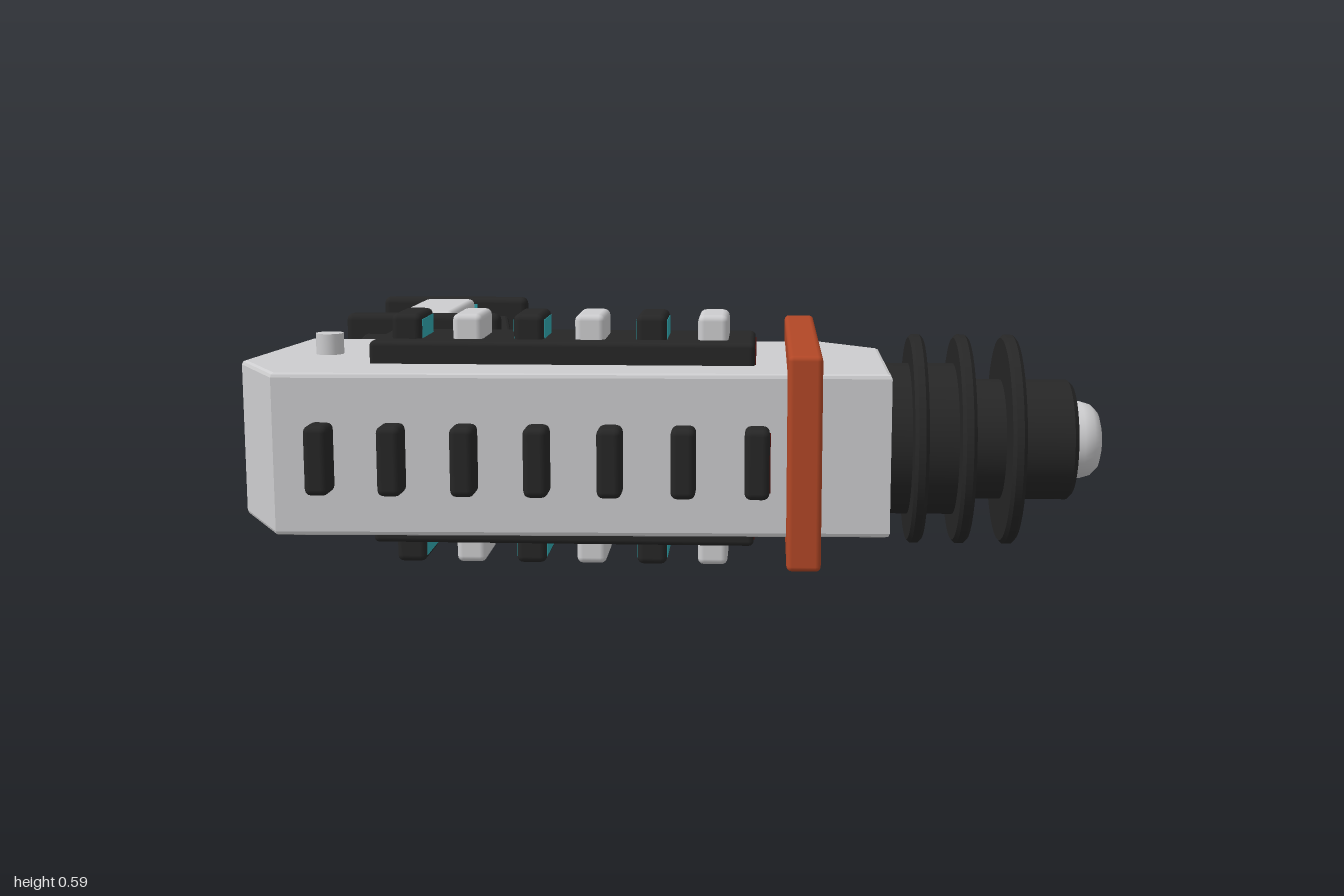
import * as THREE from 'three';
import { RoundedBoxGeometry } from 'three/addons/geometries/RoundedBoxGeometry.js';

const material = (name, color) => {
  const m = new THREE.MeshStandardMaterial({ color });
  m.name = name;
  return m;
};

export function createModel() {
  const white = material('light grey', 0xcdcdcf);
  const black = material('black', 0x262626);
  const orange = material('rust orange', 0xb24726);
  const brown = material('ochre brown', 0x946a32);
  const teal = material('teal', 0x2fa5ad);
  const red = material('dark red', 0x4a100c);

  const MID = 0.295; // the model lies on its side; this is its middle plane
  const model = new THREE.Group();
  model.name = 'toyBlaster';

  const add = (name, geometry, mat) => {
    const mesh = new THREE.Mesh(geometry, mat);
    mesh.name = name;
    model.add(mesh);
    return mesh;
  };

  // box given by its limits, with softened edges
  const box = (name, mat, [x0, x1], [y0, y1], [z0, z1], r = 0.012) => {
    const w = x1 - x0, h = y1 - y0, d = z1 - z0;
    const g = r > 0 ? new RoundedBoxGeometry(w, h, d, 2, r) : new THREE.BoxGeometry(w, h, d);
    g.translate((x0 + x1) / 2, (y0 + y1) / 2, (z0 + z1) / 2);
    return add(name, g, mat);
  };

  // outline in x and z, extruded upward between two heights
  const slab = (name, mat, outline, y0, y1, bevel = 0.01) => {
    const shape = new THREE.Shape(outline.map(([x, z]) => new THREE.Vector2(x, z)));
    const g = new THREE.ExtrudeGeometry(shape, {
      depth: y1 - y0 - 2 * bevel, bevelSize: bevel, bevelThickness: bevel,
      bevelOffset: -bevel, bevelSegments: 2,
    });
    g.rotateX(Math.PI / 2).translate(0, y1 - bevel, 0);
    return add(name, g, mat);
  };

  // the same range of heights on the upper and the lower side
  const bothSides = (y0, y1, build) => {
    build([y0, y1]);
    build([2 * MID - y1, 2 * MID - y0]);
  };

  // main housing, back rail and collar
  slab('housing', white, [
    [-0.955, 0.065], [0.365, 0.065], [0.5, 0.2], [0.5, 0.685], [-0.87, 0.728], [-1, 0.51],
  ], 0.113, 0.48);
  box('backRail', black, [-0.91, 0.44], [0.16, 0.43], [0, 0.15], 0.02);
  box('collar', orange, [0.27, 0.345], [0.058, 0.533], [-0.075, 0.787]);

  // side panels with alternating buttons
  bothSides(0.44, 0.532, (y) => {
    box('sidePanel', black, [-0.69, 0.197], y, [0.285, 0.555]);
    box('panelEnd', red, [0.194, 0.199], [y[0] + 0.015, y[1] - 0.015], [0.3, 0.54], 0);
  });
  for (let i = 0; i < 6; i++) {
    const x = -0.612 + i * 0.1425;
    const dark = i % 2 === 0;
    bothSides(0.5, 0.59, (y) => {
      box('panelButton', dark ? black : white, [x - 0.035, x + 0.035], y, [0.345, 0.505], 0.015);
      if (!dark) return;
      // glow on the faces turned to a light button
      for (const s of i === 0 ? [1] : [-1, 1]) {
        const cx = x + s * 0.034;
        box('buttonGlow', teal, [cx - 0.002, cx + 0.002], [y[0] + 0.014, y[1] - 0.014], [0.36, 0.49], 0);
      }
    });
  }

  // row of keys along the front
  for (let i = 0; i < 7; i++) {
    const x = -0.755 + i * 0.16;
    box('frontKey', black, [x - 0.027, x + 0.027], [0.22, 0.375], [0.735, 0.81], 0.015);
  }
  box('lastKeyEnd', red, [0.23, 0.234], [0.235, 0.36], [0.75, 0.795], 0);

  // pivot pin through the rear of the housing
  const pin = new THREE.CylinderGeometry(0.033, 0.033, 0.47, 20);
  add('pin', pin, white).position.set(-0.825, MID, 0.375);

  // grip with two flanges, inlays and butt
  slab('grip', black, [[-0.91, -0.642], [-0.558, -0.685], [-0.43, 0.06], [-0.83, 0.06]], 0.11, 0.48);
  slab('gripButt', brown, [[-0.795, -0.805], [-0.567, -0.82], [-0.55, -0.64], [-0.775, -0.64]], 0.165, 0.43);
  box('rearFlange', black, [-0.895, -0.475], [0.06, 0.533], [-0.57, -0.522], 0.018);
  box('innerFlange', black, [-0.89, -0.48], [0.06, 0.533], [-0.095, -0.045], 0.018);
  bothSides(0.45, 0.533, (y) => {
    box('gripInlay', white, [-0.765, -0.62], y, [-0.485, -0.13], 0.015);
    for (const z of [-0.522, -0.095]) {
      box('flangeGlow', teal, [-0.765, -0.62], [y[0] + 0.018, y[1] - 0.018], [z - 0.002, z + 0.002], 0);
    }
  });

  // trigger and its guard
  const guard = new THREE.TorusGeometry(0.17, 0.027, 12, 32, Math.PI);
  guard.rotateX(-Math.PI / 2);
  add('triggerGuard', guard, black).position.set(-0.2, MID, 0.055);
  slab('trigger', white, [[-0.285, -0.06], [-0.245, -0.075], [-0.2, 0.02], [-0.26, 0.02]], 0.27, 0.32, 0.006);

  // turned parts around the barrel axis, profile points are [radius, x]
  const turned = (name, mat, profile) => {
    const g = new THREE.LatheGeometry(profile.map(([r, x]) => new THREE.Vector2(r, x)), 40);
    g.rotateZ(-Math.PI / 2);
    return add(name, g, mat).position.set(0, MID, 0.43);
  };
  const drum = (name, radius, x0, x1, b) => turned(name, black, [
    [0, x0], [radius - b, x0], [radius - b, x0], [radius, x0 + b], [radius, x0 + b],
    [radius, x1 - b], [radius, x1 - b], [radius - b, x1], [radius - b, x1], [0, x1],
  ]);
  drum('barrelBase', 0.177, 0.49, 0.69, 0.01);
  drum('barrel', 0.14, 0.68, 0.933, 0.01);
  for (const x of [0.57, 0.675, 0.785]) drum('coolingRing', 0.245, x - 0.016, x + 0.016, 0.008);
  turned('muzzleTip', white, [
    [0.09, 0.92], [0.09, 0.955], [0.083, 0.978], [0.066, 0.994], [0.045, 1], [0, 1],
  ]);

  return model;
}
